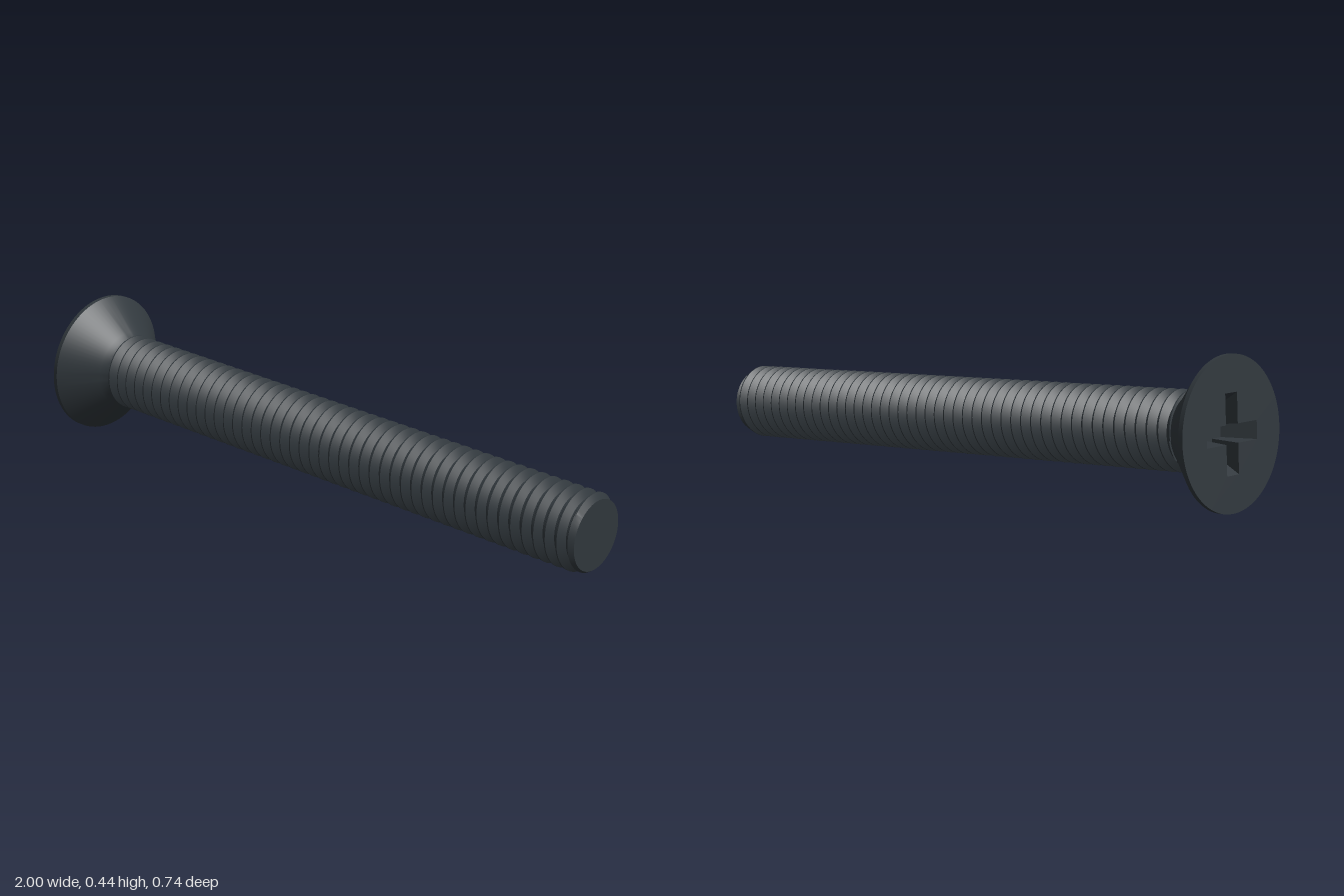
import * as THREE from 'three';
import { toCreasedNormals } from 'three/addons/utils/BufferGeometryUtils.js';

const HEAD_R = 0.222, CREST = 0.118, ROOT = 0.095, PITCH = 0.0394;
const THREAD_START = 0.125, LENGTH = 1.972, TIP_R = 0.105, SEGS = 56;

// Triangles as a list of Vector3 corners, three per face
const fromCorners = (corners) => new THREE.BufferGeometry().setFromPoints(corners);

// Helical thread: rows of root and crest corners that climb by one pitch per turn
function threadGeometry() {
  const profile = [[0, ROOT], [0.14, ROOT], [0.52, CREST], [0.62, CREST]];
  const turns = Math.ceil((LENGTH - THREAD_START) / PITCH) + 2;
  const point = (row, seg) => {
    const [f, radius] = profile[row % 4];
    const turn = seg / SEGS, a = turn * Math.PI * 2;
    const raw = THREAD_START + PITCH * (Math.floor(row / 4) + f - turn);
    const t = THREE.MathUtils.clamp(raw, THREAD_START, LENGTH);
    let r = Math.min(radius, TIP_R + (LENGTH - t) * 0.8);
    if (t === LENGTH) r = TIP_R;
    if (t === THREAD_START) r = ROOT;
    return new THREE.Vector3(r * Math.cos(a), t, r * Math.sin(a));
  };
  const corners = [];
  for (let row = 0; row < turns * 4; row++) {
    for (let s = 0; s < SEGS; s++) {
      const a = point(row, s), b = point(row + 1, s);
      const c = point(row + 1, s + 1), d = point(row, s + 1);
      const ys = [a.y, b.y, c.y, d.y];
      if (Math.max(...ys) - Math.min(...ys) < 1e-6) continue;
      corners.push(a, b, d, b, c, d);
    }
  }
  return toCreasedNormals(fromCorners(corners), 0.5);
}

// Cross outline, counter-clockwise: arm half-length l, arm half-width w
function crossOutline(l, w) {
  const pts = [];
  for (let i = 0; i < 4; i++) {
    for (const [x, y] of [[l, -w], [l, w], [w, w]]) {
      pts.push(new THREE.Vector2(x, y).rotateAround(new THREE.Vector2(), i * Math.PI / 2));
    }
  }
  return pts;
}

export function createModel() {
  const steel = new THREE.MeshStandardMaterial({ color: 0x31383d });
  steel.name = 'dark steel';
  const model = new THREE.Group();
  model.name = 'countersunkScrew';
  const screw = new THREE.Group();
  screw.name = 'screw';
  model.add(screw);
  const add = (name, geometry) => {
    const mesh = new THREE.Mesh(geometry, steel);
    mesh.name = name;
    screw.add(mesh);
  };

  // Countersunk head: thin rim, cone and a small fillet into the shank
  const headProfile = [[HEAD_R, 0], [HEAD_R, 0.014], [0.125, 0.112], [0.114, 0.124], [0.106, 0.137], [0.098, 0.152], [0.09, 0.16]]
    .map(([r, y]) => new THREE.Vector2(r, y));
  add('head', toCreasedNormals(new THREE.LatheGeometry(headProfile, 80), 0.5));

  // Flat drive face with a cross-shaped opening
  const top = crossOutline(0.115, 0.027), bottom = crossOutline(0.06, 0.02);
  const face = new THREE.Shape().absarc(0, 0, HEAD_R, 0, Math.PI * 2, false);
  face.holes.push(new THREE.Path([...top].reverse()));
  add('driveFace', new THREE.ShapeGeometry(face, 40).rotateX(Math.PI / 2));

  // Tapered walls and floor of the cross recess
  const depth = 0.085, walls = [];
  for (let i = 0; i < 12; i++) {
    const j = (i + 1) % 12;
    const a = new THREE.Vector3(top[i].x, top[i].y, 0), b = new THREE.Vector3(top[j].x, top[j].y, 0);
    const c = new THREE.Vector3(bottom[j].x, bottom[j].y, -depth), d = new THREE.Vector3(bottom[i].x, bottom[i].y, -depth);
    walls.push(a, b, d, b, c, d);
  }
  const wallGeometry = fromCorners(walls).rotateX(Math.PI / 2);
  wallGeometry.computeVertexNormals();
  add('recessWalls', wallGeometry);
  add('recessFloor', new THREE.ShapeGeometry(new THREE.Shape(bottom)).translate(0, 0, -depth).rotateX(Math.PI / 2));

  // Threaded shank and its flat end
  add('thread', threadGeometry());
  add('tip', new THREE.CircleGeometry(TIP_R, SEGS).rotateX(-Math.PI / 2).translate(0, LENGTH, 0));

  // Lay the screw along its slanted axis, head to the right and tip to the left
  const axis = new THREE.Vector3(0.977, -0.052, 0.208).normalize();
  const up = new THREE.Vector3(0, 1, 0).addScaledVector(axis, -axis.y).normalize();
  const side = new THREE.Vector3().crossVectors(axis, up);
  screw.quaternion.setFromRotationMatrix(new THREE.Matrix4().makeBasis(side, axis, up));
  screw.position.set(-0.953, 0.222, -0.155);
  return model;
}
